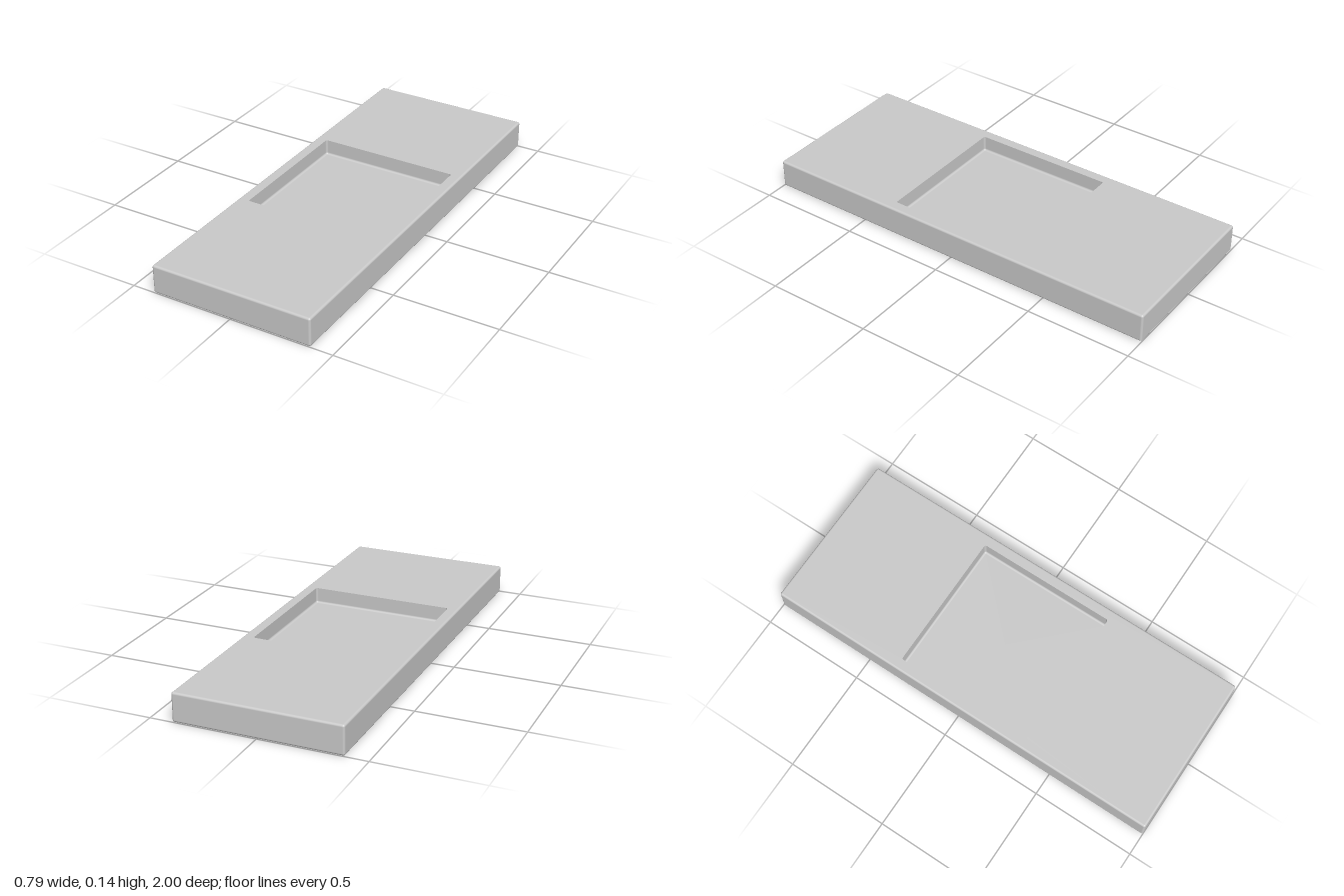
import * as THREE from 'three';

const STEPS = 5;      // segments per rounded quarter
const R = 0.01;       // edge radius
const HX = 0.394, HZ = 1, TOP = 0.138;   // slab half sizes and height
const POCKET = 0.342, FLOOR = 0.063;     // recess half size and floor height

// One horizontal ring: core rectangle (cx, cz) grown by r, with normal parts (out, up)
const ring = (cx, cz, r, y, out, up) => ({ cx, cz, r, y, out, up });

// Quarter round of rings; a runs from a0 to a1, side is 1 outside and -1 in the recess
function quarter(cx, cz, y, a0, a1, side) {
  return Array.from({ length: STEPS + 1 }, (_, i) => {
    const a = a0 + (a1 - a0) * i / STEPS;
    return ring(cx, cz, R * Math.cos(a), y + R * Math.sin(a), side * Math.cos(a), side * Math.sin(a));
  });
}

// Skin a surface over consecutive rounded-rectangle rings
function skin(rings) {
  const pos = [], nor = [], idx = [];
  const corners = [[1, 1], [-1, 1], [-1, -1], [1, -1]];
  const n = 4 * (STEPS + 1);
  for (const p of rings) {
    corners.forEach(([sx, sz], q) => {
      for (let k = 0; k <= STEPS; k++) {
        const t = (q + k / STEPS) * Math.PI / 2;
        const c = Math.cos(t), s = Math.sin(t);
        pos.push(sx * p.cx + p.r * c, p.y, sz * p.cz + p.r * s);
        nor.push(p.out * c, p.up, p.out * s);
      }
    });
  }
  for (let i = 0; i < rings.length - 1; i++) {
    for (let j = 0; j < n; j++) {
      const a = i * n + j, b = i * n + (j + 1) % n;
      idx.push(a, a + n, b, b, a + n, b + n);
    }
  }
  const g = new THREE.BufferGeometry();
  g.setAttribute('position', new THREE.Float32BufferAttribute(pos, 3));
  g.setAttribute('normal', new THREE.Float32BufferAttribute(nor, 3));
  g.setIndex(idx);
  return g;
}

export function createModel() {
  const group = new THREE.Group();
  group.name = 'recessedSlab';
  const material = new THREE.MeshStandardMaterial({ color: 0xcccccc });
  const add = (name, rings) => {
    const mesh = new THREE.Mesh(skin(rings), material);
    mesh.name = name;
    group.add(mesh);
  };
  const cx = HX - R, cz = HZ - R, pc = POCKET - R, H = Math.PI / 2;

  // Rounded slab: underside, sides, and the top face up to the recess rim
  add('slab', [
    ring(0, 0, 0, 0, 0, -1),
    ...quarter(cx, cz, R, -H, 0, 1),
    ...quarter(cx, cz, TOP - R, 0, H, 1),
    ring(pc, pc, R, TOP, 0, 1),
  ]);

  // Square recess: sharp rim, upright walls, filleted floor edge, flat floor
  add('recess', [
    ring(pc, pc, R, TOP, -1, 0),
    ...quarter(pc, pc, FLOOR + R, 0, -H, -1),
    ring(0, 0, 0, FLOOR, 0, 1),
  ]);
  return group;
}
